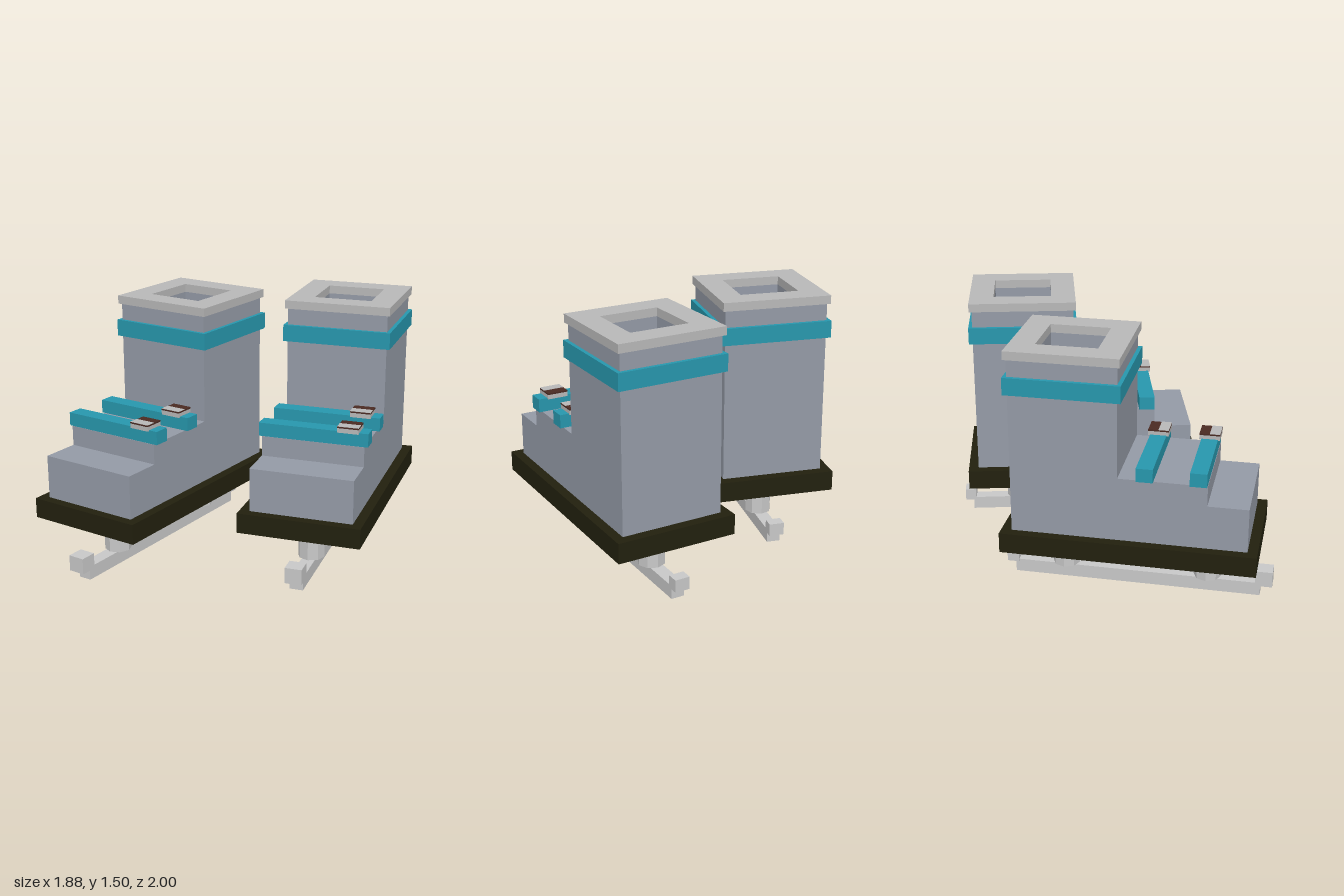
import * as THREE from 'three';

const material = (name, color) => {
  const m = new THREE.MeshStandardMaterial({ color });
  m.name = name;
  return m;
};

export function createModel() {
  const shell = material('grey shell', 0x949aa6);
  const trim = material('light grey trim', 0xb8b8b8);
  const steel = material('pale steel', 0xc8c8c8);
  const teal = material('teal strap', 0x2797ad);
  const soleColor = material('dark olive sole', 0x22200e);
  const brown = material('brown buckle', 0x4a2a22);

  const SHAFT_Z = -0.363;

  function add(group, name, geometry, mat, x = 0, y = 0, z = 0) {
    const mesh = new THREE.Mesh(geometry, mat);
    mesh.name = name;
    mesh.position.set(x, y, z);
    group.add(mesh);
    return mesh;
  }

  // Box given by its bottom and top heights
  function block(group, name, mat, width, y0, y1, depth, x, z) {
    add(group, name, new THREE.BoxGeometry(width, y1 - y0, depth), mat, x, (y0 + y1) / 2, z);
  }

  // Square upright tube around the shaft axis
  function squareTube(group, name, mat, outer, inner, y0, y1) {
    const a = outer / 2, b = inner / 2;
    const shape = new THREE.Shape().moveTo(-a, -a).lineTo(a, -a).lineTo(a, a).lineTo(-a, a);
    shape.closePath();
    const hole = new THREE.Path().moveTo(-b, -b).lineTo(-b, b).lineTo(b, b).lineTo(b, -b);
    hole.closePath();
    shape.holes.push(hole);
    const geometry = new THREE.ExtrudeGeometry(shape, { depth: y1 - y0, bevelEnabled: false });
    geometry.rotateX(-Math.PI / 2);
    add(group, name, geometry, mat, 0, y0, SHAFT_Z);
  }

  function createSkate(name) {
    const skate = new THREE.Group();
    skate.name = name;

    // Sole and hollow shaft
    block(skate, 'sole', soleColor, 0.725, 0.3, 0.42, 1.457, 0, 0);
    squareTube(skate, 'shaft', shell, 0.61, 0.35, 0.42, 1.45);
    squareTube(skate, 'shaftBand', teal, 0.655, 0.6, 1.25, 1.35);
    squareTube(skate, 'cuff', trim, 0.642, 0.35, 1.45, 1.5);

    // Stepped foot, drawn as a side profile and extruded across
    const back = SHAFT_Z + 0.305;
    const profile = new THREE.Shape()
      .moveTo(back, 0.42).lineTo(0.672, 0.42).lineTo(0.672, 0.68)
      .lineTo(0.442, 0.68).lineTo(0.442, 0.8).lineTo(back, 0.8);
    profile.closePath();
    const foot = new THREE.ExtrudeGeometry(profile, { depth: 0.61, bevelEnabled: false });
    foot.rotateY(-Math.PI / 2);
    add(skate, 'foot', foot, shell, 0.305, 0, 0);

    // Straps with buckles
    for (const z of [0.095, 0.392]) {
      block(skate, 'strap', teal, 0.65, 0.8, 0.88, 0.095, 0, z);
      block(skate, 'buckleBase', trim, 0.125, 0.875, 0.902, 0.12, 0.208, z);
      block(skate, 'bucklePlate', brown, 0.125, 0.902, 0.911, 0.12, 0.208, z);
      block(skate, 'buckleFace', trim, 0.125, 0.911, 0.913, 0.06, 0.208, z + 0.03);
    }

    // Blade posts, runner and end stops
    for (const z of [-0.422, 0.422]) {
      const post = new THREE.CylinderGeometry(0.08, 0.08, 0.22, 8).toNonIndexed();
      post.computeVertexNormals();
      add(skate, 'bladePost', post, steel, 0, 0.19, z);
    }
    block(skate, 'blade', steel, 0.08, 0, 0.08, 1.46, 0, 0.005);
    block(skate, 'frontStop', steel, 0.1, 0.065, 0.16, 0.1, 0, 0.755);
    block(skate, 'backStop', steel, 0.09, 0.065, 0.14, 0.07, 0, -0.742);
    return skate;
  }

  const model = new THREE.Group();
  model.name = 'pairOfSkates';
  const right = createSkate('rightSkate');
  right.position.set(-0.496, 0, 0.191);
  right.rotation.y = -0.12;
  const left = createSkate('leftSkate');
  left.position.set(0.48, 0, -0.225);
  left.rotation.y = 0.137;
  model.add(right, left);
  return model;
}
